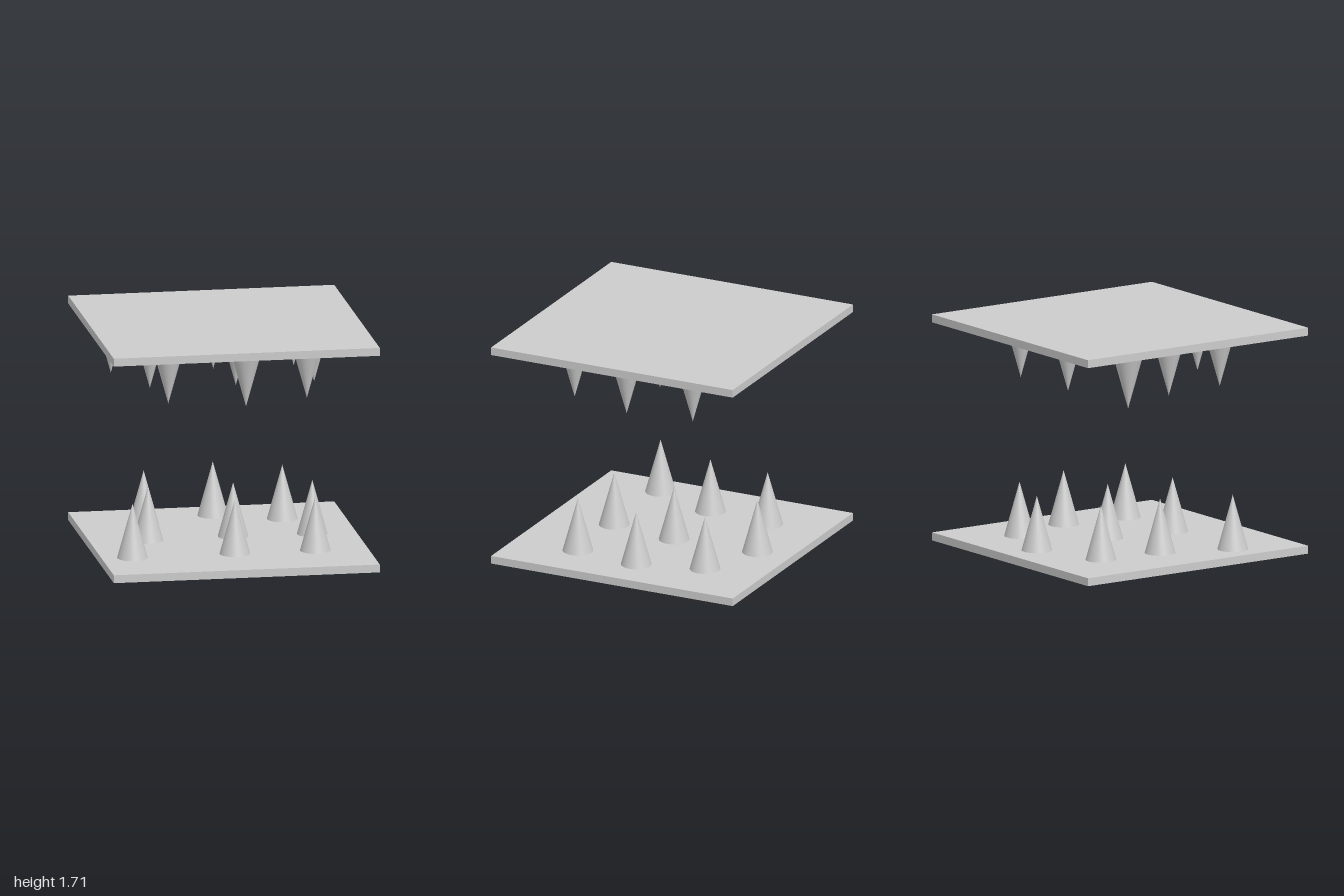
import * as THREE from 'three';

const PLATE_T = 0.06, HEIGHT = 1.712, SPIKE_H = 0.411, SPIKE_R = 0.114;

// Spike positions [x, z] on the lower plate
const SPOTS = [
  [-0.77, 0.478], [0, 0.478], [0.605, 0.478],
  [-0.565, -0.037], [0.078, -0.056], [0.67, -0.037],
  [-0.512, -0.537], [0.04, -0.727], [0.53, -0.537],
];

// A square plate with spikes standing on it
function spikedPlate(name, material) {
  const group = new THREE.Group();
  group.name = name;

  const plate = new THREE.Mesh(new THREE.BoxGeometry(2, PLATE_T, 2), material);
  plate.name = 'plate';
  plate.position.y = PLATE_T / 2;
  group.add(plate);

  const cone = new THREE.ConeGeometry(SPIKE_R, SPIKE_H, 32);
  for (const [x, z] of SPOTS) {
    const spike = new THREE.Mesh(cone, material);
    spike.name = 'spike';
    spike.position.set(x, PLATE_T + SPIKE_H / 2, z);
    group.add(spike);
  }
  return group;
}

export function createModel() {
  const model = new THREE.Group();
  model.name = 'spikeTrap';
  const material = new THREE.MeshStandardMaterial({ color: 0xcccccc });

  const floor = spikedPlate('floorSpikes', material);

  // The ceiling is the same plate turned over about the x axis
  const ceiling = spikedPlate('ceilingSpikes', material);
  ceiling.rotation.x = Math.PI;
  ceiling.position.y = HEIGHT;

  // Ceiling spikes sit a touch further forward than the exact flip
  for (const part of ceiling.children) if (part.name === 'spike') part.position.z -= 0.005;

  model.add(floor, ceiling);
  return model;
}
